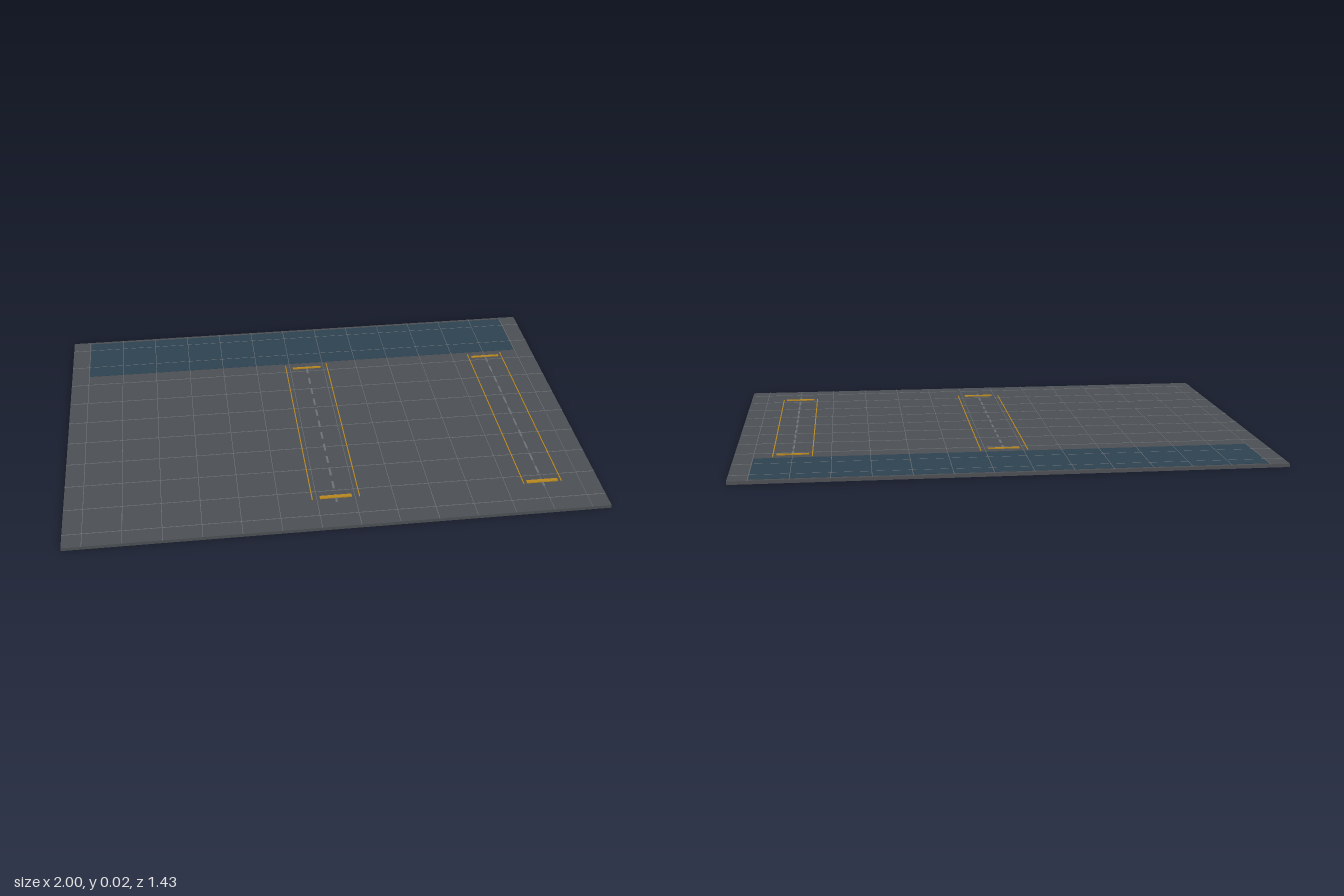
import * as THREE from 'three';

const paint = (name, hex) => {
  const m = new THREE.MeshStandardMaterial({ color: hex });
  m.name = name;
  return m;
};

export function createModel() {
  const group = new THREE.Group();
  const concrete = paint('concrete grey', 0x4b4e52);
  const blue = paint('zone blue', 0x2d4150);
  const yellow = paint('marking yellow', 0xb5851f);
  const grey = paint('joint grey', 0x6c7074);
  const U = 1 / 14; // floor module
  const TOP = 0.0125;

  // Box given by its ground rectangle and its bottom and top heights
  const slab = (name, mat, x0, x1, z0, z1, y0, y1) => {
    const mesh = new THREE.Mesh(new THREE.BoxGeometry(x1 - x0, y1 - y0, z1 - z0), mat);
    mesh.position.set((x0 + x1) / 2, (y0 + y1) / 2, (z0 + z1) / 2);
    mesh.name = name;
    group.add(mesh);
  };

  // Floor and the painted zone along the back
  slab('floorSlab', concrete, -1, 1, -10 * U, 10 * U, 0, TOP);
  slab('backZone', blue, -0.926, 0.926, -0.7, -0.425, TOP, TOP + 0.001);

  // Fine floor joints in both directions
  const j = 0.001;
  for (let i = -13; i <= 13; i += 2)
    slab('jointAlongZ', grey, i * U - j, i * U + j, -10 * U, 10 * U, TOP, TOP + 0.0014);
  for (let i = -9; i <= 9; i += 2)
    slab('jointAlongX', grey, -1, 1, i * U - j, i * U + j, TOP, TOP + 0.0014);

  // Two marked lanes: side lines, end bars and a dashed centre line
  for (const [cx, half] of [[0, 0.0885], [11 * U, 0.0725]]) {
    for (const s of [-1, 1]) {
      const x = cx + s * half;
      slab('laneSideLine', yellow, x - 0.002, x + 0.002, -0.41, 0.548, TOP, TOP + 0.002);
    }
    slab('laneBackBar', yellow, cx - 0.06, cx + 0.06, -0.388, -0.377, TOP, TOP + 0.004);
    slab('laneFrontBar', yellow, cx - 0.06, cx + 0.06, 0.531, 0.547, TOP, TOP + 0.004);
    for (let i = 0; i < 12; i++) {
      const z = -0.382 + i * 0.0825;
      slab('laneDash', grey, cx - 0.004, cx + 0.004, z, z + 0.045, TOP, TOP + 0.002);
    }
  }
  return group;
}
